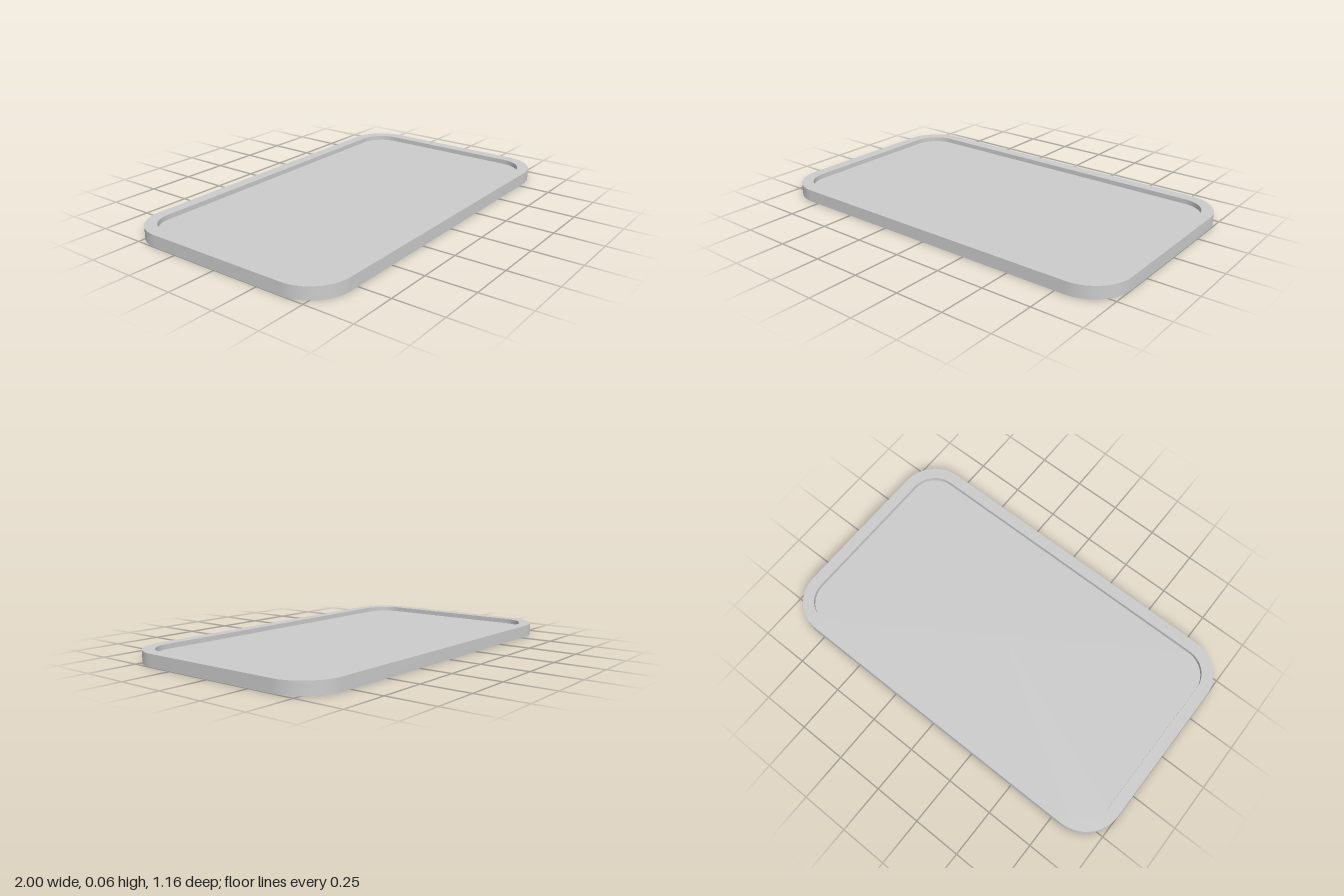
import * as THREE from 'three';
import { toCreasedNormals } from 'three/addons/utils/BufferGeometryUtils.js';

const HALF_W = 1, HALF_D = 0.582, RADIUS = 0.2;
const HEIGHT = 0.063, RIM = 0.06, FLOOR = 0.038;
const STEPS = 16; // segments per rounded corner

// Rounded-rectangle outline at height y, moved inwards by inset
function outline(inset, y) {
  const points = [];
  const r = RADIUS - inset;
  const corners = [[1, 1], [-1, 1], [-1, -1], [1, -1]];
  corners.forEach(([sx, sz], c) => {
    for (let i = 0; i <= STEPS; i++) {
      const a = (c + i / STEPS) * Math.PI / 2;
      points.push([
        sx * (HALF_W - RADIUS) + r * Math.cos(a),
        y,
        sz * (HALF_D - RADIUS) + r * Math.sin(a),
      ]);
    }
  });
  return points;
}

// Closed skin over a stack of outlines, with a flat fan at each end
function skin(rings) {
  const n = rings[0].length;
  const positions = rings.flat(2);
  const bottom = rings.length * n, top = bottom + 1;
  positions.push(0, rings[0][0][1], 0, 0, rings.at(-1)[0][1], 0);
  const index = [];
  for (let i = 0; i < n; i++) {
    const j = (i + 1) % n;
    index.push(bottom, i, j);
    for (let k = 0; k < rings.length - 1; k++) {
      const a = k * n + i, b = k * n + j;
      index.push(a, a + n, b, b, a + n, b + n);
    }
    const last = (rings.length - 1) * n;
    index.push(top, last + j, last + i);
  }
  const geometry = new THREE.BufferGeometry();
  geometry.setAttribute('position', new THREE.Float32BufferAttribute(positions, 3));
  geometry.setIndex(index);
  return toCreasedNormals(geometry, Math.PI / 6);
}

export function createModel() {
  const group = new THREE.Group();
  group.name = 'shallowTray';

  // Underside, outer wall, raised rim, inner wall and recessed floor
  const tray = new THREE.Mesh(
    skin([outline(0, 0), outline(0, HEIGHT), outline(RIM, HEIGHT), outline(RIM, FLOOR)]),
    new THREE.MeshStandardMaterial({ color: 0xcccccc }),
  );
  tray.name = 'tray';
  group.add(tray);
  return group;
}
